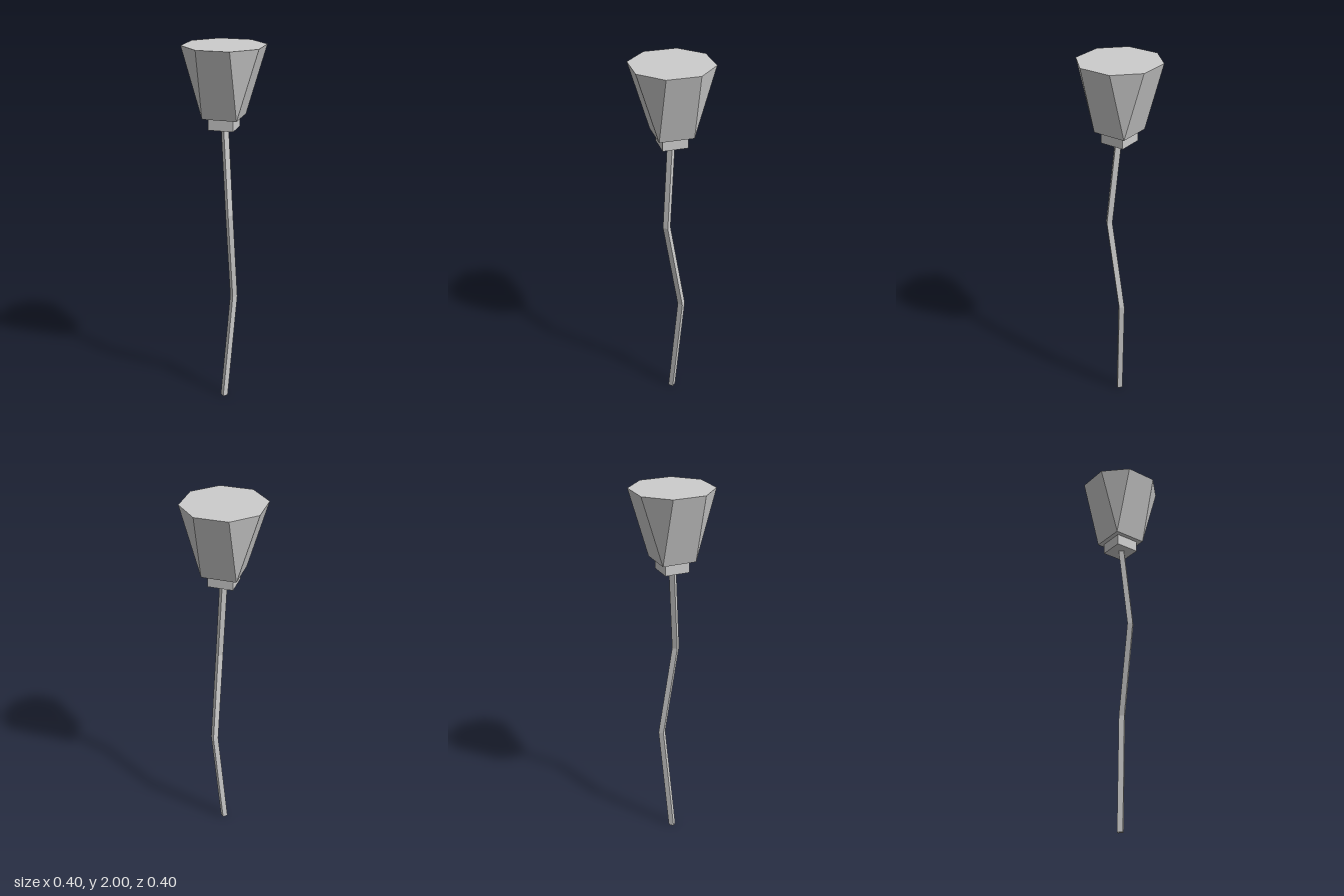
import * as THREE from 'three';

const material = new THREE.MeshStandardMaterial({ color: 0xcccccc, flatShading: true });

// Moves every vertex by a rule, then gives each face its own flat normal.
function reshape(geometry, rule) {
  const pos = geometry.attributes.position;
  const v = new THREE.Vector3();
  for (let i = 0; i < pos.count; i++) {
    v.fromBufferAttribute(pos, i);
    rule(v);
    pos.setXYZ(i, v.x, v.y, v.z);
  }
  const flat = geometry.toNonIndexed();
  flat.computeVertexNormals();
  return flat;
}

function addPart(group, name, geometry) {
  const mesh = new THREE.Mesh(geometry, material);
  mesh.name = name;
  group.add(mesh);
  return mesh;
}

export function createModel() {
  const group = new THREE.Group();
  group.name = 'kinkedStemWithHead';

  // Stem: a square rod whose four rings follow a kinked path.
  const path = [[0, 0, 0], [0.06, 0.62, 0], [0, 1.125, 0.055], [0, 1.6, 0.005]];
  const stem = new THREE.CylinderGeometry(0.0205, 0.0205, 3, 4, 3).rotateY(Math.PI / 4);
  addPart(group, 'stem', reshape(stem, (v) => {
    const [x, y, z] = path[Math.round(v.y + 1.5)];
    v.set(v.x + x, y, v.z + z);
  }));

  // Collar: a diamond-shaped block under the head.
  const collar = new THREE.CylinderGeometry(0.093, 0.093, 0.06, 4).translate(0, 1.61, 0);
  addPart(group, 'collar', reshape(collar, () => {}));

  // Head: an octagonal top tapering to a diamond base.
  const head = new THREE.CylinderGeometry(1, 1, 0.36, 8).rotateY(Math.PI / 8).translate(0, 1.82, 0);
  addPart(group, 'head', reshape(head, (v) => {
    if (Math.hypot(v.x, v.z) < 0.5) return; // cap centres
    const [far, near] = v.y > 1.82 ? [0.2, 0.08] : [0.127, 0];
    const alongX = Math.abs(v.x) > Math.abs(v.z);
    v.x = Math.sign(v.x) * (alongX ? far : near);
    v.z = Math.sign(v.z) * (alongX ? near : far);
  }));

  return group;
}
